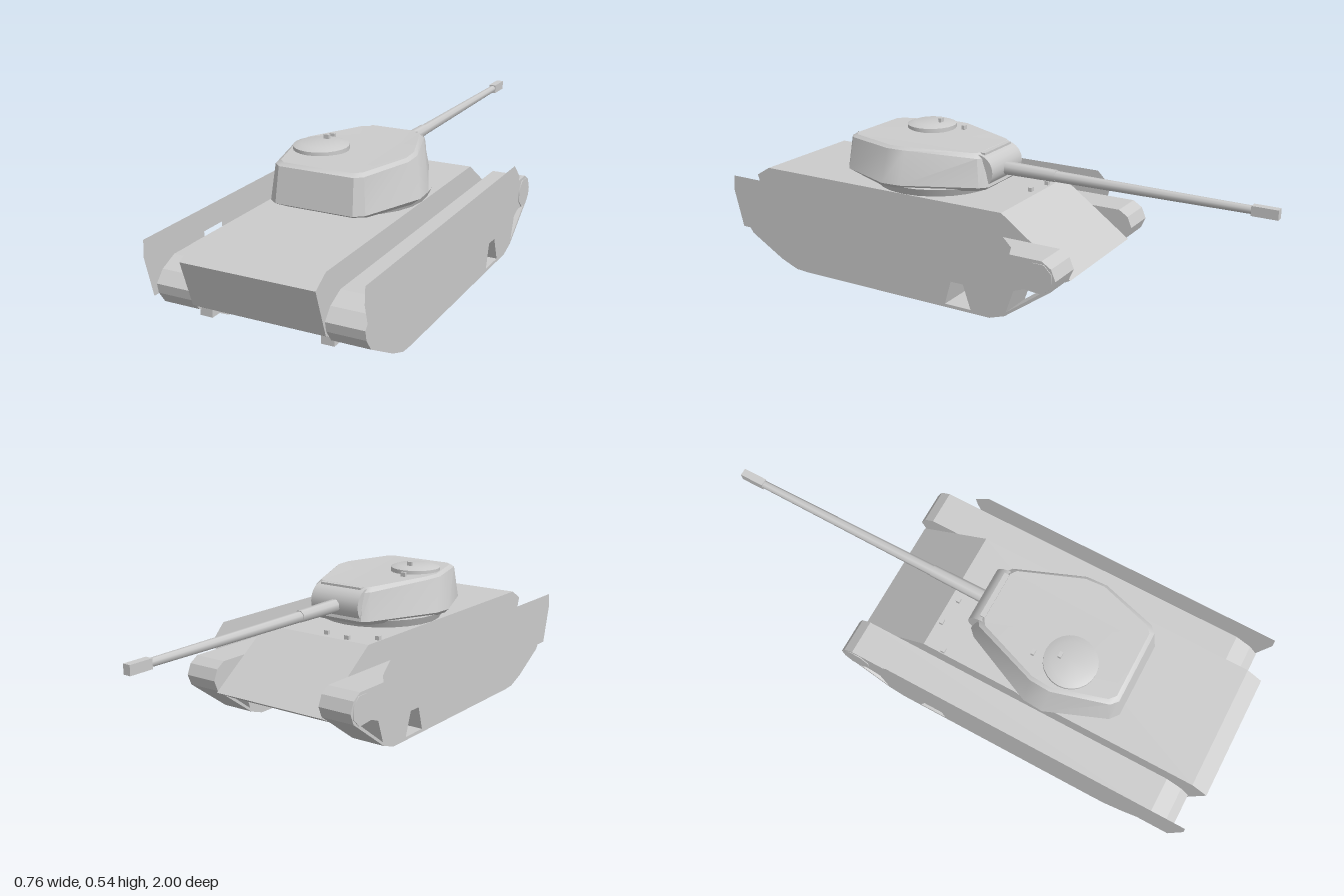
import * as THREE from 'three';
import { toCreasedNormals } from 'three/addons/utils/BufferGeometryUtils.js';

const grey = new THREE.MeshStandardMaterial({ color: 0xcccccc });
const thin = new THREE.MeshStandardMaterial({ color: 0xcccccc, side: THREE.DoubleSide });

// Side profile given as [z, y] pairs
const pts = (list) => list.map(([z, y]) => new THREE.Vector2(-z, y));
function sideShape(outline, holes = []) {
  const s = new THREE.Shape(pts(outline));
  holes.forEach((h) => s.holes.push(new THREE.Path(pts(h))));
  return s;
}

// Extrude a side profile across x
function slab(shape, x0, x1) {
  return new THREE.ExtrudeGeometry(shape, { depth: x1 - x0, bevelEnabled: false })
    .rotateY(Math.PI / 2).translate(x0, 0, 0);
}

// Closed skin over rings of [x, y, z] points, bottom ring first, capped at both ends
function loft(rings) {
  const n = rings[0].length;
  const pos = rings.flat(2);
  const index = [];
  for (let r = 0; r < rings.length - 1; r++) {
    for (let i = 0; i < n; i++) {
      const a = r * n + i, b = r * n + (i + 1) % n;
      index.push(a, b, b + n, a, b + n, a + n);
    }
  }
  const top = (rings.length - 1) * n;
  for (let i = 1; i < n - 1; i++) {
    index.push(0, i + 1, i);
    index.push(top, top + i, top + i + 1);
  }
  const g = new THREE.BufferGeometry();
  g.setAttribute('position', new THREE.Float32BufferAttribute(pos, 3));
  g.setIndex(index);
  return toCreasedNormals(g, 0.5);
}

// Mirror a half outline of [x, z] (rear to front on +x) into a full ring;
// drop lowers the ring towards the front
function turretRing(half, y, drop) {
  const full = [...half, ...half.slice().reverse().map(([x, z]) => [-x, z])];
  return full.map(([x, z]) => [x, y - drop * Math.max(0, 0.25 - z), z]);
}

export function createModel() {
  const model = new THREE.Group();
  const add = (name, geo, mat = grey, parent = model) => {
    const m = new THREE.Mesh(geo, mat);
    m.name = name;
    parent.add(m);
    return m;
  };
  const box = (name, w, h, d, x, y, z, parent) =>
    add(name, new THREE.BoxGeometry(w, h, d).translate(x, y, z), grey, parent);

  // Hull with sloped nose and undercut rear plate
  add('hull', slab(sideShape([
    [0.94, 0.333], [1.0, 0.297], [0.95, 0.137], [0.89, 0.1],
    [-0.3, 0.1], [-0.38, 0.14], [-0.11, 0.333],
  ]), -0.232, 0.232));

  // Tracks, idlers, final drives and skirts
  const track = sideShape([
    [0.86, 0.247], [0.92, 0.22], [0.953, 0.183], [0.947, 0.15], [0.92, 0.11], [0.78, 0.03],
    [0.71, 0.003], [0.66, 0], [-0.14, 0], [-0.2, 0.02], [-0.375, 0.145], [-0.392, 0.185],
    [-0.375, 0.225], [-0.34, 0.247],
  ], [
    [[0.015, 0.1], [0.04, 0.012], [-0.065, 0.012], [-0.035, 0.1]],
    [[-0.235, 0.12], [-0.205, 0.035], [-0.335, 0.13], [-0.275, 0.135]],
  ]);
  const skirtOutline = [
    [0.98, 0.335], [0.985, 0.28], [0.95, 0.137], [-0.16, 0.137], [-0.195, 0.165],
    [-0.225, 0.24], [-0.235, 0.28], [-0.18, 0.335],
  ];
  const slot = [[0.58, 0.255], [0.58, 0.225], [0.68, 0.225], [0.68, 0.255]];
  for (const [side, s] of [['left', 1], ['right', -1]]) {
    const [x0, x1] = s > 0 ? [0.232, 0.362] : [-0.362, -0.232];
    add(side + 'Track', slab(track, x0, x1));
    add(side + 'Idler', new THREE.CylinderGeometry(0.055, 0.055, 0.13, 8)
      .rotateY(Math.PI / 8).rotateZ(Math.PI / 2).translate(s * 0.3, 0.185, -0.328));
    box(side + 'FinalDrive', 0.045, 0.052, 0.08, s * 0.214, 0.111, 0.87);
    const plate = sideShape(skirtOutline, s < 0 ? [slot] : []);
    add(side + 'Skirt', new THREE.ShapeGeometry(plate)
      .rotateY(Math.PI / 2).translate(s * 0.378, 0, 0), thin);
  }

  // Periscopes on the front deck
  for (const [x, z] of [[-0.22, -0.035], [-0.13, -0.093], [-0.03, -0.08]]) {
    box('deckPeriscope', 0.018, 0.02, 0.014, x, 0.338, z);
  }

  // Turret ring and faceted turret shell
  const turret = new THREE.Group();
  turret.name = 'turret';
  model.add(turret);
  add('turretRing', new THREE.CylinderGeometry(0.245, 0.23, 0.03, 24)
    .translate(0, 0.347, 0.3), grey, turret);
  const low = [[0.12, 0.58], [0.16, 0.555], [0.235, 0.39], [0.235, 0.3], [0.12, 0.06], [0.09, 0.04]];
  const wide = [[0.14, 0.615], [0.172, 0.59], [0.258, 0.375], [0.253, 0.3], [0.135, 0.04], [0.11, 0.015]];
  const high = [[0.135, 0.595], [0.16, 0.573], [0.217, 0.375], [0.213, 0.3], [0.122, 0.055], [0.1, 0.04]];
  const roof = [[0.125, 0.58], [0.148, 0.56], [0.205, 0.37], [0.2, 0.3], [0.115, 0.075], [0.095, 0.06]];
  add('turretShell', loft([
    turretRing(low, 0.352, 0), turretRing(wide, 0.37, 0),
    turretRing(high, 0.49, 0.09), turretRing(roof, 0.5, 0.06),
  ]), grey, turret);

  // Rounded gun mantlet with a cover plate
  add('mantlet', new THREE.CylinderGeometry(0.062, 0.062, 0.21, 20)
    .rotateZ(Math.PI / 2).translate(0, 0.422, 0.063), grey, turret);
  box('mantletCover', 0.18, 0.008, 0.06, 0, 0.484, 0.07, turret);

  // Gun: sleeve, tapered barrel and square muzzle brake
  const tube = (name, rFront, rBack, zFront, zBack, y) =>
    add(name, new THREE.CylinderGeometry(rBack, rFront, zBack - zFront, 8)
      .rotateY(Math.PI / 8).rotateX(Math.PI / 2).translate(0, y, (zFront + zBack) / 2), grey, turret);
  tube('gunSleeve', 0.022, 0.025, -0.2, 0.03, 0.417);
  tube('gunBarrel', 0.014, 0.02, -0.93, -0.19, 0.416);
  box('muzzleBrake', 0.028, 0.034, 0.09, 0, 0.416, -0.955, turret);

  // Cupola with hatch knob, and a roof periscope
  const dome = [[0, 0.495], [0.094, 0.495], [0.094, 0.512], [0.068, 0.521], [0, 0.521]]
    .map(([r, y]) => new THREE.Vector2(r, y));
  add('cupola', toCreasedNormals(new THREE.LatheGeometry(dome, 24), 0.4)
    .translate(-0.096, 0, 0.392), grey, turret);
  box('hatchKnob', 0.02, 0.016, 0.012, -0.097, 0.528, 0.352, turret);
  box('roofPeriscope', 0.02, 0.016, 0.012, -0.125, 0.505, 0.265, turret);

  return model;
}
